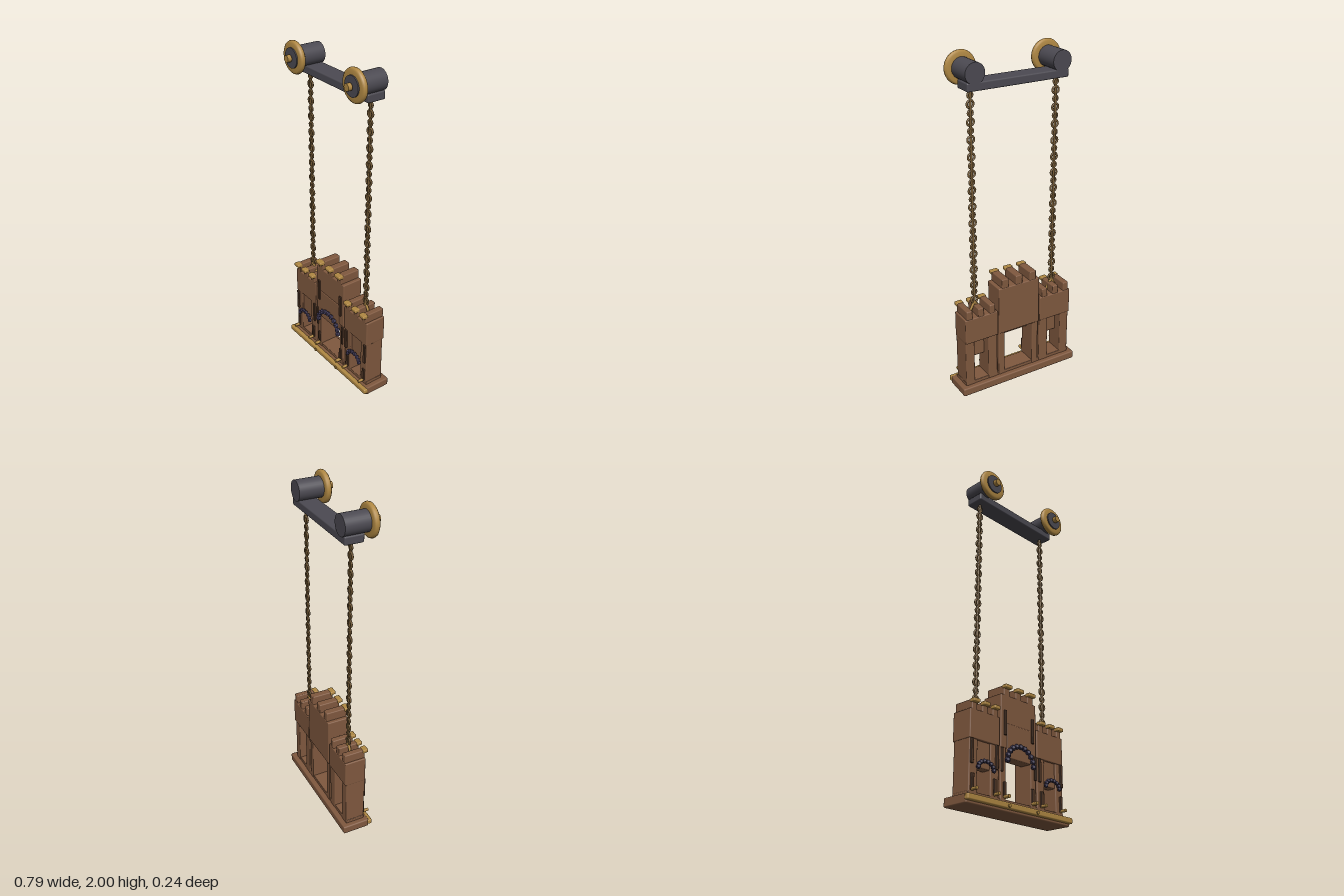
import * as THREE from 'three';
import { RoundedBoxGeometry } from 'three/addons/geometries/RoundedBoxGeometry.js';

const material = (name, color) => {
  const m = new THREE.MeshStandardMaterial({ color });
  m.name = name;
  return m;
};

export function createModel() {
  const root = new THREE.Group();
  root.name = 'hangingCastle';
  const wood = material('wood', 0x80593f);
  const darkWood = material('darkWood', 0x4b3324);
  const gold = material('gold', 0xb08843);
  const chainBrass = material('chainBrass', 0x745a35);
  const iron = material('iron', 0x4c4a52);
  const violet = material('violetStone', 0x403a58);

  const group = (name, parent = root) => {
    const g = new THREE.Group();
    g.name = name;
    parent.add(g);
    return g;
  };
  const add = (parent, name, geo, mat, x = 0, y = 0, z = 0) => {
    const m = new THREE.Mesh(geo, mat);
    m.name = name;
    m.position.set(x, y, z);
    parent.add(m);
    return m;
  };
  // Softly bevelled box given by its limits on each axis
  const box = (parent, name, mat, x0, x1, y0, y1, z0, z1, r = 0.006) => {
    const w = x1 - x0, h = y1 - y0, d = z1 - z0;
    const geo = new RoundedBoxGeometry(w, h, d, 2, Math.min(r, w / 3, h / 3, d / 3));
    return add(parent, name, geo, mat, (x0 + x1) / 2, (y0 + y1) / 2, (z0 + z1) / 2);
  };
  // Cylinder lying along z
  const rod = (parent, name, mat, r, x, y, z0, z1, sides = 32) =>
    add(parent, name, new THREE.CylinderGeometry(r, r, z1 - z0, sides).rotateX(Math.PI / 2),
      mat, x, y, (z0 + z1) / 2);

  // Plinth with a gilded front edge
  const base = group('base');
  box(base, 'plinth', wood, -0.39, 0.39, 0, 0.05, -0.12, 0.045, 0.008);
  box(base, 'plinthTrim', gold, -0.395, 0.395, 0.015, 0.048, 0.036, 0.064, 0.008);
  box(base, 'threshold', wood, -0.36, 0.36, 0.045, 0.07, -0.09, 0.025, 0.004);

  // Battlement bars running front to back with gilded caps
  const merlon = (parent, x, w, y0, y1) => {
    box(parent, 'merlon', wood, x - w / 2 + 0.004, x + w / 2 - 0.004, y0 - 0.01, y1 - 0.003, -0.098, 0.03);
    box(parent, 'merlonCap', gold, x - w / 2, x + w / 2, y1 - 0.022, y1, 0.016, 0.05);
  };
  // Row of beads following a half arch
  const beadArch = (parent, x, y, rx, ry, count, size) => {
    const bead = new THREE.DodecahedronGeometry(size);
    for (let i = 0; i < count; i++) {
      const a = Math.PI * i / (count - 1);
      add(parent, 'archBead', bead, violet, x + Math.cos(a) * rx, y + Math.sin(a) * ry, 0.044);
    }
  };

  // Central gate tower
  const gate = group('gateTower');
  box(gate, 'gateBlock', wood, -0.138, 0.138, 0.34, 0.64, -0.1, 0.03);
  box(gate, 'gateLintel', wood, -0.093, 0.093, 0.29, 0.48, -0.04, 0.034);
  for (const x of [-0.093, 0, 0.093]) merlon(gate, x, 0.053, 0.64, 0.697);
  beadArch(gate, 0, 0.275, 0.1, 0.09, 11, 0.016);

  const linkGeo = new THREE.TorusGeometry(0.02, 0.0065, 6, 14);
  const smallLinkGeo = new THREE.TorusGeometry(0.015, 0.006, 6, 12);

  for (const s of [-1, 1]) {
    const side = s < 0 ? 'right' : 'left';
    const tower = group(side + 'Tower');
    // Mirrored box helper
    const mbox = (parent, name, mat, x0, x1, ...rest) =>
      box(parent, name, mat, Math.min(s * x0, s * x1), Math.max(s * x0, s * x1), ...rest);

    mbox(gate, 'gatePillar', wood, 0.096, 0.137, 0.045, 0.36, -0.092, 0.028);
    mbox(gate, 'gateUpperStrip', darkWood, 0.098, 0.116, 0.41, 0.55, 0.02, 0.038, 0.003);
    mbox(gate, 'gateLowerStrip', darkWood, 0.098, 0.116, 0.075, 0.16, 0.02, 0.036, 0.003);
    mbox(gate, 'gateMiddleStrip', darkWood, 0.122, 0.135, 0.21, 0.34, 0.02, 0.036, 0.003);
    rod(gate, 'gatePeg', gold, 0.01, s * 0.107, 0.08, 0.03, 0.066, 12);
    rod(base, 'plinthPeg', gold, 0.009, s * 0.107, 0.03, 0.05, 0.07, 12);

    // Side tower with its small arched opening
    mbox(tower, 'towerBlock', wood, 0.145, 0.36, 0.34, 0.5, -0.1, 0.03);
    mbox(tower, 'outerPillar', wood, 0.3, 0.358, 0.045, 0.35, -0.092, 0.026);
    mbox(tower, 'innerPillar', wood, 0.147, 0.208, 0.045, 0.35, -0.092, 0.026);
    mbox(tower, 'towerLintel', wood, 0.2, 0.306, 0.2, 0.35, -0.035, 0.018);
    mbox(tower, 'outerStrip', darkWood, 0.334, 0.352, 0.21, 0.34, 0.018, 0.036, 0.003);
    mbox(tower, 'innerStrip', darkWood, 0.156, 0.174, 0.21, 0.34, 0.018, 0.036, 0.003);
    mbox(tower, 'outerLowerStrip', darkWood, 0.328, 0.346, 0.075, 0.16, 0.018, 0.036, 0.003);
    mbox(tower, 'innerLowerStrip', darkWood, 0.17, 0.188, 0.075, 0.16, 0.018, 0.036, 0.003);
    for (const x of [0.179, 0.337]) rod(tower, 'towerPeg', gold, 0.009, s * x, 0.08, 0.02, 0.066, 12);
    for (const x of [0.18, 0.255, 0.33]) merlon(tower, s * x, 0.045, 0.5, 0.555);
    beadArch(tower, s * 0.255, 0.195, 0.055, 0.038, 8, 0.013);

    // Chain of links between tower and beam
    const cx = s * 0.265, cz = -0.035;
    const chain = group(side + 'Chain');
    for (let i = 0; i < 26; i++)
      add(chain, 'chainLink', i % 2 ? smallLinkGeo : linkGeo, chainBrass, cx, 0.585 + i * 0.048, cz);
    add(chain, 'chainCore', new THREE.CylinderGeometry(0.008, 0.008, 1.27, 8), chainBrass, cx, 1.19, cz);
    for (const t of [-1, 1]) {
      const strut = new THREE.LineCurve3(
        new THREE.Vector3(cx + t * 0.04, 0.495, cz), new THREE.Vector3(cx, 0.572, cz));
      add(chain, 'chainHanger', new THREE.TubeGeometry(strut, 1, 0.008, 8), gold);
    }

    // Winding drum with a gilded wheel at the front
    const drum = group(side + 'Drum');
    rod(drum, 'drumBarrel', iron, 0.058, cx, 1.908, -0.095, 0.06);
    const rim = [[0.055, -0.017], [0.08, -0.017], [0.089, -0.01], [0.092, 0],
      [0.089, 0.01], [0.08, 0.017], [0.055, 0.017]].map(([r, y]) => new THREE.Vector2(r, y));
    add(drum, 'drumRim', new THREE.LatheGeometry(rim, 40).rotateX(Math.PI / 2), gold, cx, 1.908, 0.066);
    rod(drum, 'drumHub', iron, 0.056, cx, 1.908, 0.05, 0.09);
    rod(drum, 'drumAxle', gold, 0.012, cx, 1.908, 0.08, 0.1, 16);
    rod(drum, 'drumAxleCap', gold, 0.02, cx, 1.908, 0.096, 0.12, 16);
  }

  // Iron beam joining the drums
  const beam = group('beam');
  box(beam, 'beamBar', iron, -0.31, 0.31, 1.815, 1.862, -0.092, 0.018, 0.008);
  return root;
}
